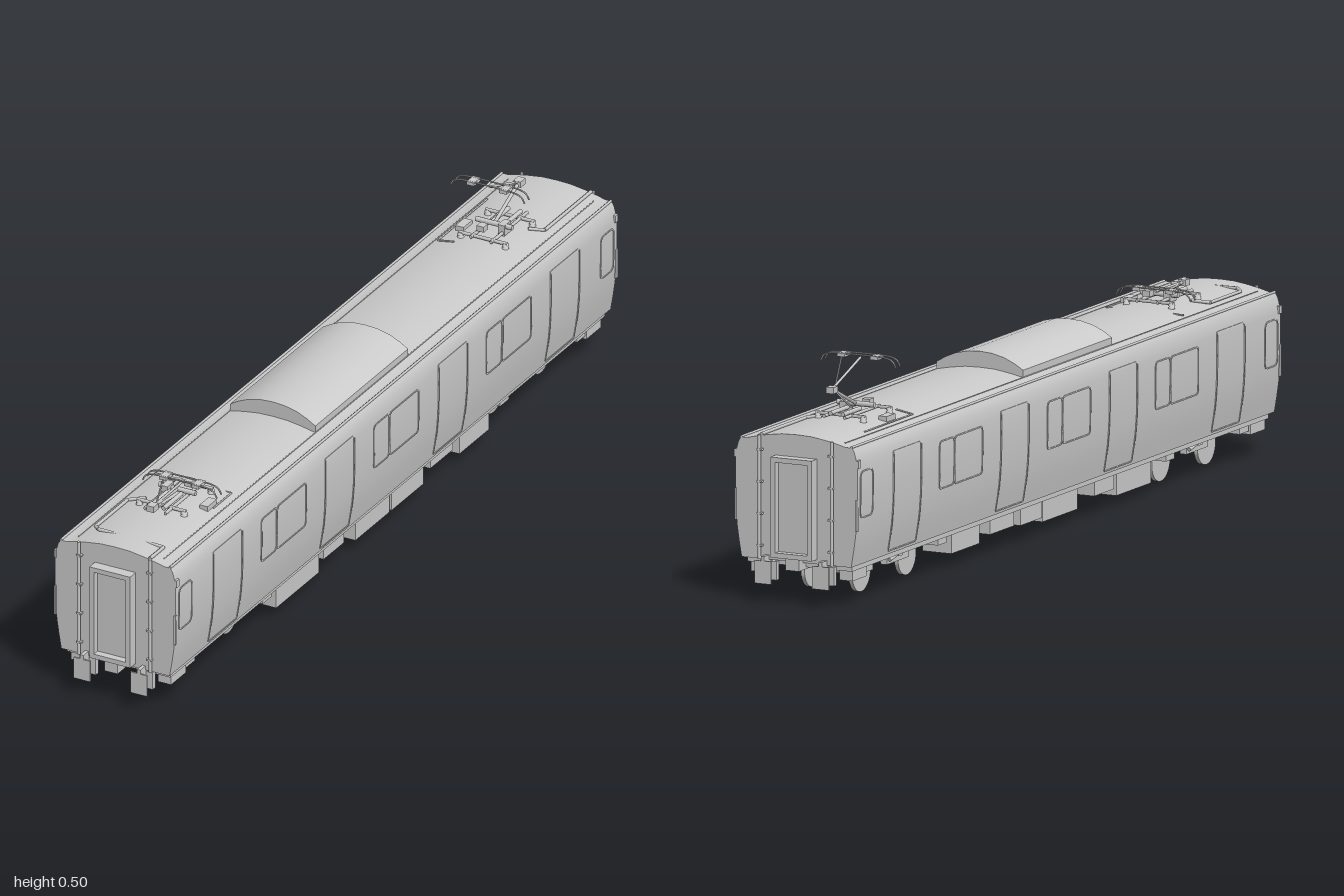
import * as THREE from 'three';
import { toCreasedNormals } from 'three/addons/utils/BufferGeometryUtils.js';

const mat = new THREE.MeshStandardMaterial({ color: 0xcccccc });
const V = (x, y, z) => new THREE.Vector3(x, y, z);

// half cross-section of the car body, from sill to roof crown
const SECTION = [[0.133, 0.09], [0.139, 0.125], [0.144, 0.16], [0.147, 0.2], [0.148, 0.24], [0.148, 0.31],
  [0.145, 0.327], [0.141, 0.342], [0.135, 0.352], [0.12, 0.352], [0.1, 0.357], [0.07, 0.363], [0.035, 0.368], [0, 0.369]];

function add(parent, name, geo, x = 0, y = 0, z = 0) {
  const m = new THREE.Mesh(geo, mat);
  m.name = name;
  m.position.set(x, y, z);
  parent.add(m);
  return m;
}

// box given by its limits
function box(parent, name, x0, x1, y0, y1, z0, z1) {
  return add(parent, name, new THREE.BoxGeometry(x1 - x0, y1 - y0, z1 - z0), (x0 + x1) / 2, (y0 + y1) / 2, (z0 + z1) / 2);
}

function rod(parent, name, a, b, r, sides = 6) {
  const m = add(parent, name, new THREE.CylinderGeometry(r, r, a.distanceTo(b), sides));
  m.position.copy(a).lerp(b, 0.5);
  m.quaternion.setFromUnitVectors(V(0, 1, 0), b.clone().sub(a).normalize());
  return m;
}

function pipe(parent, name, pts, r) {
  const g = new THREE.Group();
  g.name = name;
  for (let i = 1; i < pts.length; i++) rod(g, name + 'Run', V(...pts[i - 1]), V(...pts[i]), r);
  parent.add(g);
}

function tube(parent, name, pts, r, n = 24) {
  const curve = new THREE.CatmullRomCurve3(pts.map(p => V(...p)));
  return add(parent, name, new THREE.TubeGeometry(curve, n, r, 6));
}

// extrude a mirrored half section along z
function extrudeSection(half, z0, z1) {
  const right = half.map(([x, y]) => new THREE.Vector2(x, y));
  const left = half.filter(p => p[0] > 0).reverse().map(([x, y]) => new THREE.Vector2(-x, y));
  const geo = new THREE.ExtrudeGeometry(new THREE.Shape([...right, ...left]), { depth: z1 - z0, bevelEnabled: false });
  return toCreasedNormals(geo.translate(0, 0, z0), 0.45);
}

// body half width at height y, up to the shoulder
function halfWidth(y) {
  for (let i = 1; i < 9; i++) {
    const [xa, ya] = SECTION[i - 1], [xb, yb] = SECTION[i];
    if (y <= yb) return xa + (xb - xa) * Math.max(0, (y - ya) / (yb - ya));
  }
  return 0.135;
}

function roundedOutline(z0, z1, y0, y1, r) {
  const pts = [], corners = [[z1 - r, y0 + r, -90], [z1 - r, y1 - r, 0], [z0 + r, y1 - r, 90], [z0 + r, y0 + r, 180]];
  corners.forEach(([cz, cy, start], k) => {
    for (let i = 0; i <= 4; i++) {
      const t = THREE.MathUtils.degToRad(start + i * 22.5);
      pts.push(new THREE.Vector2(cz + r * Math.cos(t), cy + r * Math.sin(t)));
    }
    const a = pts[pts.length - 1].clone();
    if (k % 2 === 0) for (let i = 1; i < 8; i++) pts.push(new THREE.Vector2(a.x, a.y + (y1 - y0 - 2 * r) * i / 8));
    else if (k === 1) return;
  });
  // second upright runs downwards
  const out = pts.slice(0, 5), up = pts.slice(5, 12), rest = pts.slice(12).filter((p, i) => i < 10);
  const down = [];
  for (let i = 1; i < 8; i++) down.push(new THREE.Vector2(z0, y1 - r - (y1 - y0 - 2 * r) * i / 8));
  return [...out, ...up, ...rest, ...down, ...pts.slice(-5)];
}

// thin trim frame wrapped onto the curved side wall
function sideFrame(parent, name, side, z0, z1, y0, y1, r) {
  const w = 0.003, shape = new THREE.Shape(roundedOutline(z0, z1, y0, y1, r));
  shape.holes.push(new THREE.Path(roundedOutline(z0 + w, z1 - w, y0 + w, y1 - w, r - w / 2)));
  const geo = new THREE.ExtrudeGeometry(shape, { depth: 0.003, bevelEnabled: false });
  geo.rotateY(side * Math.PI / 2);
  const p = geo.attributes.position;
  for (let i = 0; i < p.count; i++) p.setX(i, p.getX(i) + side * (halfWidth(p.getY(i)) - 0.0015));
  geo.computeVertexNormals();
  add(parent, name, geo);
}

// current collector, elbow pointing towards +z
function collector(raised) {
  const g = new THREE.Group();
  g.name = raised ? 'raisedPantograph' : 'foldedPantograph';
  const [py, ey, hy] = raised ? [0.39, 0.44, 0.492] : [0.385, 0.392, 0.398];
  for (const z of [0.65, 0.77]) {
    rod(g, 'baseCrossbar', V(-0.06, 0.377, z), V(0.06, 0.377, z), 0.004);
    for (const x of [-0.055, 0.055]) {
      for (let i = 0; i < 3; i++) add(g, 'insulator', new THREE.CylinderGeometry(0.005, 0.008, 0.006, 10), x, 0.363 + i * 0.006, z);
      box(g, 'mountingFoot', x - 0.014, x + 0.014, 0.352, 0.362, z - 0.012, z + 0.012);
    }
  }
  for (const x of [-0.025, 0.025]) {
    rod(g, 'baseRail', V(x, 0.377, 0.64), V(x, 0.377, 0.8), 0.004);
    rod(g, 'spring', V(x * 0.6, 0.382, 0.71), V(x * 0.6, 0.382, 0.79), 0.005, 8);
  }
  rod(g, 'pivotShaft', V(-0.045, py, 0.7), V(0.045, py, 0.7), 0.006, 8);
  box(g, 'driveUnit', -0.03, -0.014, 0.37, 0.395, 0.69, 0.72);
  box(g, 'lockUnit', 0.004, 0.022, 0.384, 0.397, 0.66, 0.68);
  box(g, 'sideUnit', 0.065, 0.085, 0.355, 0.372, 0.68, 0.72);
  rod(g, 'lowerArm', V(0, py, 0.7), V(0, ey, 0.81), 0.004);
  rod(g, 'guideRod', V(0.008, py - 0.006, 0.73), V(0.006, ey - 0.006, 0.805), 0.002);
  box(g, 'elbow', -0.009, 0.009, ey - 0.008, ey + 0.006, 0.8, 0.822);
  rod(g, 'upperArm', V(0, ey, 0.81), V(0, hy - 0.005, 0.68), 0.003);
  rod(g, 'upperBrace', V(0.006, ey, 0.81), V(-0.045, hy - 0.004, 0.68), 0.0018);
  for (const z of [0.67, 0.69]) {
    tube(g, 'collectorHorn', [[-0.091, hy - 0.018, z], [-0.084, hy - 0.006, z], [-0.07, hy, z], [-0.035, hy + 0.002, z],
      [0.035, hy + 0.002, z], [0.07, hy, z], [0.084, hy - 0.006, z], [0.091, hy - 0.018, z]], 0.0018, 40);
  }
  for (const x of [-0.04, 0.04]) box(g, 'collectorShoe', x - 0.009, x + 0.009, hy - 0.005, hy + 0.003, 0.665, 0.695);
  return g;
}

function bogie(z) {
  const g = new THREE.Group();
  g.name = 'bogie';
  g.position.z = z;
  for (const wz of [-0.105, 0.105]) {
    rod(g, 'axle', V(-0.06, 0.042, wz), V(0.06, 0.042, wz), 0.007, 16);
    for (const s of [-1, 1]) {
      const profile = [[0, -0.005], [0.037, -0.005], [0.042, -0.004], [0.042, 0.005], [0, 0.005]].map(p => new THREE.Vector2(...p));
      add(g, 'wheel', toCreasedNormals(new THREE.LatheGeometry(profile, 32), 0.5), s * 0.058, 0.042, wz).rotation.z = Math.PI / 2;
    }
  }
  box(g, 'transom', -0.08, 0.08, 0.055, 0.078, -0.022, 0.022);
  box(g, 'centrePivot', -0.02, 0.02, 0.07, 0.095, -0.025, 0.025);
  for (const s of [-1, 1]) {
    box(g, 'sideFrame', s * 0.088 - 0.008, s * 0.088 + 0.008, 0.052, 0.066, -0.05, 0.05);
    add(g, 'airSpring', new THREE.CylinderGeometry(0.018, 0.018, 0.03, 16), s * 0.088, 0.08, 0);
    rod(g, 'damper', V(s * 0.1, 0.062, -0.045), V(s * 0.1, 0.078, 0.03), 0.004, 8);
  }
  return g;
}

export function createModel() {
  const model = new THREE.Group();
  model.name = 'railCar';
  add(model, 'carBody', extrudeSection(SECTION, -0.975, 0.975));
  add(model, 'roofAirConditioner', extrudeSection([[0.105, 0.35], [0.105, 0.372], [0.085, 0.384], [0.06, 0.395], [0.03, 0.402], [0, 0.404]], -0.13, 0.28));

  // doors, windows and gutters on both sides
  for (const s of [-1, 1]) {
    for (const c of [-0.745, -0.25, 0.25, 0.745]) {
      sideFrame(model, 'doorFrame', s, c - 0.065, c + 0.065, 0.096, 0.318, 0.006);
    }
    for (const c of [-0.4975, 0, 0.4975]) {
      sideFrame(model, 'windowFrame', s, c - 0.1, c - 0.03, 0.195, 0.302, 0.01);
      sideFrame(model, 'windowFrame', s, c - 0.03, c + 0.1, 0.195, 0.302, 0.01);
    }
    for (const c of [-0.932, 0.932]) sideFrame(model, 'endWindowFrame', s, c - 0.03, c + 0.03, 0.195, 0.3, 0.014);
    rod(model, 'gutter', V(s * 0.134, 0.353, -0.975), V(s * 0.134, 0.353, 0.975), 0.003);
    rod(model, 'roofSeam', V(s * 0.105, 0.356, -0.95), V(s * 0.105, 0.356, 0.95), 0.0012);
    for (const e of [-1, 1]) {
      box(model, 'cornerHandrail', s * 0.147 - 0.002, s * 0.147 + 0.002, 0.17, 0.24, e * 0.974 - 0.004, e * 0.974 + 0.004);
      box(model, 'sideLamp', s * 0.148 - 0.003, s * 0.148 + 0.003, 0.308, 0.325, e * 0.97 - 0.006, e * 0.97 + 0.006);
    }
  }

  // end walls: gangway, downpipes, coupler and hanging boxes
  for (const e of [-1, 1]) {
    const end = new THREE.Group();
    end.name = e > 0 ? 'frontEnd' : 'rearEnd';
    end.rotation.y = e > 0 ? 0 : Math.PI;
    const outline = new THREE.Shape([[-0.05, 0.1], [0.05, 0.1], [0.05, 0.32], [-0.05, 0.32]].map(p => new THREE.Vector2(...p)));
    outline.holes.push(new THREE.Path([[-0.039, 0.111], [-0.039, 0.309], [0.039, 0.309], [0.039, 0.111]].map(p => new THREE.Vector2(...p))));
    add(end, 'gangwayFrame', new THREE.ExtrudeGeometry(outline, { depth: 0.025, bevelEnabled: false }), 0, 0, 0.975);
    box(end, 'gangwayDoor', -0.039, 0.039, 0.111, 0.309, 0.97, 0.983);
    for (const s of [-1, 1]) {
      rod(end, 'downpipe', V(s * 0.088, 0.09, 0.979), V(s * 0.088, 0.362, 0.979), 0.004, 8);
      for (const y of [0.12, 0.19, 0.26, 0.33]) box(end, 'pipeClip', s * 0.086 - 0.006, s * 0.086 + 0.006, y - 0.002, y + 0.002, 0.974, 0.984);
      box(end, 'hangingBox', s * 0.07 - 0.02, s * 0.07 + 0.02, 0.045, 0.086, 0.96, 0.972);
      box(end, 'jumperPlate', s * 0.07 - 0.02, s * 0.07 + 0.02, 0.04, 0.09, 0.994, 0.998);
      box(end, 'jumperBracket', s * 0.07 - 0.004, s * 0.07 + 0.004, 0.078, 0.1, 0.96, 0.998);
      box(end, 'endStep', s * 0.107 - 0.016, s * 0.107 + 0.016, 0.055, 0.09, 0.885, 0.95);
    }
    box(end, 'coupler', -0.016, 0.016, 0.074, 0.1, 0.9, 0.994);
    box(end, 'couplerMount', -0.045, 0.045, 0.07, 0.09, 0.88, 0.91);
    model.add(end, bogie(e * 0.69));
  }

  // underfloor equipment: x0, x1, bottom, z0, z1
  box(model, 'floorFrame', -0.127, 0.127, 0.078, 0.091, -0.96, 0.96);
  const equipment = [[0.02, 0.12, 0.026, 0.29, 0.48], [0.07, 0.12, 0.048, 0.18, 0.27], [0.05, 0.12, 0.03, -0.02, 0.13],
    [0.05, 0.12, 0.03, -0.17, -0.03], [0.06, 0.115, 0.048, -0.31, -0.21], [0.04, 0.12, 0.03, -0.46, -0.33],
    [-0.105, -0.04, 0.022, 0.3, 0.46], [-0.12, -0.05, 0.045, 0.17, 0.26], [-0.105, -0.02, 0.024, -0.04, 0.12],
    [-0.12, -0.06, 0.04, -0.17, -0.07], [-0.12, -0.05, 0.045, -0.31, -0.2], [-0.11, -0.04, 0.03, -0.47, -0.34]];
  for (const [x0, x1, y, z0, z1] of equipment) box(model, 'underfloorBox', x0, x1, y, 0.085, z0, z1);
  for (const x of [-0.015, 0.012]) rod(model, 'airTank', V(x * 3, 0.062, 0.17), V(x * 3, 0.062, 0.27), 0.014, 16);
  for (const z of [-0.53, 0.52, -0.87, 0.86]) for (const s of [-1, 1]) box(model, 'smallBox', s * 0.105 - 0.015, s * 0.105 + 0.015, 0.063, 0.085, z - 0.02, z + 0.02);

  // roof equipment
  const rear = collector(true);
  rear.rotation.y = Math.PI;
  model.add(collector(false), rear);
  pipe(model, 'frontRoofCable', [[0.085, 0.363, 0.975], [0.085, 0.363, 0.915], [-0.075, 0.366, 0.915], [-0.09, 0.363, 0.9], [-0.09, 0.363, 0.76], [-0.055, 0.368, 0.74]], 0.004);
  pipe(model, 'rearRoofCable', [[0.085, 0.363, -0.975], [0.085, 0.363, -0.77], [0.055, 0.368, -0.75]], 0.004);
  pipe(model, 'rearRoofWire', [[-0.095, 0.361, -0.84], [-0.095, 0.361, -0.62], [-0.055, 0.368, -0.62]], 0.002);
  pipe(model, 'frontRoofWire', [[0.088, 0.361, 0.7], [0.088, 0.361, 0.62], [-0.1, 0.361, 0.62]], 0.002);
  return model;
}
